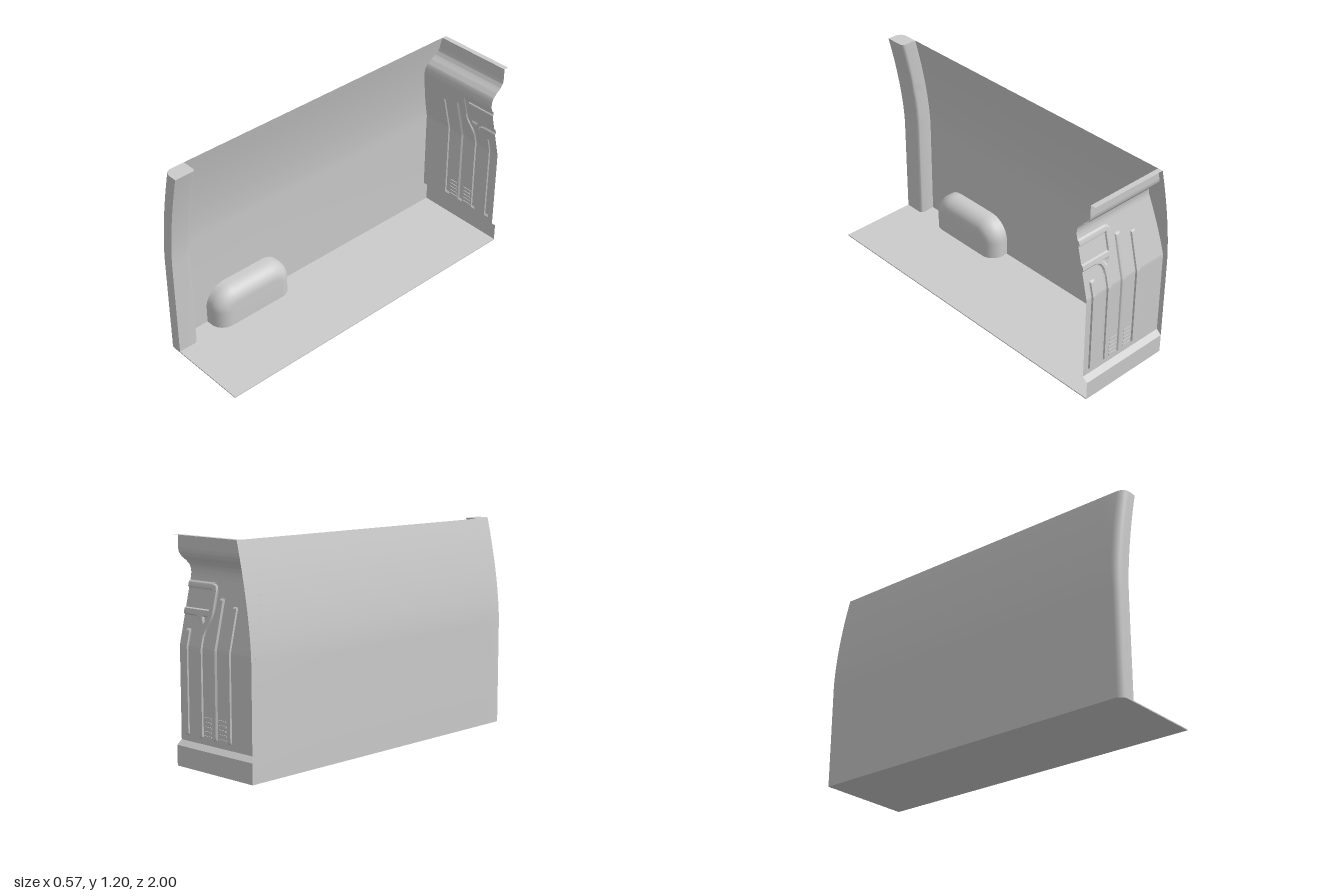
import * as THREE from 'three';
import { toCreasedNormals } from 'three/addons/utils/BufferGeometryUtils.js';

const material = new THREE.MeshStandardMaterial({ color: 0xcccccc, side: THREE.DoubleSide });
const HALF = 0.285;

// Side wall leans inward above the waist
const wallX = (y) => -HALF + 0.095 * Math.pow(Math.max(0, (y - 0.6) / 0.6), 1.6);
const levels = [0, 0.6];
for (let i = 1; i <= 14; i++) levels.push(0.6 + (0.6 * i) / 14);

// Surface through rows of [x, y, z] points
function loft(rows, crease = 0.6) {
  const n = rows[0].length, index = [];
  for (let i = 0; i < rows.length - 1; i++) {
    for (let j = 0; j < n - 1; j++) {
      const a = i * n + j, c = a + n;
      index.push(a, a + 1, c, a + 1, c + 1, c);
    }
  }
  const g = new THREE.BufferGeometry();
  g.setAttribute('position', new THREE.Float32BufferAttribute(rows.flat(2), 3));
  g.setIndex(index);
  return toCreasedNormals(g, crease);
}

function add(parent, name, geometry) {
  const mesh = new THREE.Mesh(geometry, material);
  mesh.name = name;
  parent.add(mesh);
  return mesh;
}

// Bulkhead profile: [height, depth]
const profile = [
  [0, -1], [0.11, -1], [0.135, -0.97], [0.63, -0.97], [0.96, -0.892], [0.98, -0.887], [1.0, -0.885],
  [1.02, -0.887], [1.04, -0.895], [1.065, -0.92], [1.085, -0.948], [1.11, -0.966], [1.13, -0.97], [1.21, -0.97],
];
function sheetZ(y) {
  const k = Math.max(1, profile.findIndex((p) => p[0] >= y));
  const [y0, z0] = profile[k - 1], [y1, z1] = profile[k];
  return z0 + ((z1 - z0) * (y - y0)) / (y1 - y0);
}

// Signed distance to a closed outline, positive inside
function inset(points, x, y) {
  let d = Infinity, inside = false;
  for (let i = 0, j = points.length - 1; i < points.length; j = i++) {
    const a = points[j], b = points[i], ex = b.x - a.x, ey = b.y - a.y;
    const len = ex * ex + ey * ey;
    if (len === 0) continue;
    const t = THREE.MathUtils.clamp(((x - a.x) * ex + (y - a.y) * ey) / len, 0, 1);
    d = Math.min(d, Math.hypot(x - a.x - ex * t, y - a.y - ey * t));
    if (a.y > y !== b.y > y && x < a.x + (ex * (y - a.y)) / ey) inside = !inside;
  }
  return inside ? d : -d;
}
const polygon = (...p) => p.map(([x, y]) => new THREE.Vector2(x, y));
const rect = (x0, x1, y0, y1) => polygon([x0, y0], [x1, y0], [x1, y1], [x0, y1]);

// Pressed channels, and the raised islands inside the largest one
const panel = new THREE.Shape();
panel.moveTo(0.11, 0.17);
panel.lineTo(0.11, 0.68);
panel.bezierCurveTo(0.11, 0.74, 0.065, 0.76, 0.065, 0.83);
panel.lineTo(0.065, 0.915);
panel.quadraticCurveTo(0.065, 0.956, 0.106, 0.956);
panel.lineTo(0.32, 0.956);
panel.lineTo(0.32, 0.79);
panel.lineTo(0.2, 0.79);
panel.quadraticCurveTo(0.139, 0.785, 0.139, 0.69);
panel.lineTo(0.139, 0.17);
const channels = [
  rect(-0.102, -0.074, 0.17, 0.852), rect(0.004, 0.033, 0.17, 0.884),
  rect(0.218, 0.247, 0.17, 0.716), panel.getPoints(10),
];
const islands = [rect(0.098, 0.32, 0.823, 0.926), polygon([0.104, 0.79], [0.142, 0.79], [0.123, 0.758])];

function recess(x, y) {
  if (y < 0.16 || y > 0.965) return 0;
  const step = (d) => THREE.MathUtils.clamp((d + 0.002) / 0.004, 0, 1);
  const down = Math.max(...channels.map((c) => step(inset(c, x, y))));
  if (down === 0) return 0;
  return 0.009 * down * (1 - Math.max(...islands.map((c) => step(inset(c, x, y)))));
}

function bulkhead() {
  const group = new THREE.Group();
  group.name = 'bulkhead';
  const rows = [];
  for (let i = 0; i <= 240; i++) {
    const y = i * 0.005, z = sheetZ(y), row = [];
    for (let j = 0; j <= 142; j++) {
      const x = Math.max(wallX(y), -HALF + (2 * HALF * j) / 142);
      row.push([x, y, z - recess(x, y)]);
    }
    rows.push(row);
  }
  // Top lip folds back
  rows.push(rows[240].map(([x, y]) => [x, y, -1]));
  add(group, 'bulkheadSheet', loft(rows));

  // Two columns of vent louvres
  const slat = new THREE.BoxGeometry(0.053, 0.009, 0.008);
  for (const x of [-0.036, 0.072]) {
    for (const y of [0.179, 0.203, 0.227, 0.251, 0.276]) {
      add(group, 'ventLouvre', slat).position.set(x, y, -0.97);
    }
  }
  return group;
}

// Pillar cross-section as [x, z], rounded at two opposite corners
function pillarSection(x0) {
  const pts = [[x0, 0.875]];
  for (let i = 0; i <= 6; i++) {
    const a = (i / 6) * Math.PI / 2;
    pts.push([x0 + 0.045 * (1 - Math.cos(a)), 0.955 + 0.045 * Math.sin(a)]);
  }
  pts.push([x0 + 0.095, 1]);
  for (let i = 0; i <= 4; i++) {
    const a = (i / 4) * Math.PI / 2;
    pts.push([x0 + 0.075 + 0.02 * Math.cos(a), 0.895 - 0.02 * Math.sin(a)]);
  }
  pts.push([x0, 0.875]);
  return pts;
}

function pillar() {
  const group = new THREE.Group();
  group.name = 'pillar';
  add(group, 'pillarShell', loft(levels.map((y) => pillarSection(wallX(y)).map(([x, z]) => [x, y, z]))));
  const top = new THREE.Shape(polygon(...pillarSection(wallX(1.2)).slice(0, -1)));
  add(group, 'pillarCap', new THREE.ShapeGeometry(top).rotateX(Math.PI / 2)).position.y = 1.2;
  return group;
}

// Wheel arch outline drawn inward by d
function archRow(d, x) {
  const r = 0.13 - d, row = [[x, 0, 0.205 + d]];
  for (const [cz, start] of [[0.335, Math.PI], [0.605, Math.PI / 2]]) {
    for (let i = 0; i <= 10; i++) {
      const a = start - (i / 10) * Math.PI / 2;
      row.push([x, 0.105 + r * Math.sin(a), cz + r * Math.cos(a)]);
    }
  }
  row.push([x, 0, 0.735 - d]);
  return row;
}

function wheelArch() {
  const rows = [archRow(0, -HALF)];
  for (let i = 0; i <= 10; i++) {
    const a = (i / 10) * Math.PI / 2;
    rows.push(archRow(0.085 * (1 - Math.cos(a)), -0.25 + 0.085 * Math.sin(a)));
  }
  rows.push(rows[rows.length - 1].map(([x, , z]) => [x, 0, z]));
  return loft(rows, 0.8);
}

export function createModel() {
  const model = new THREE.Group();
  model.name = 'vanInterior';

  // Floor with one rounded corner under the pillar
  const plan = new THREE.Shape();
  plan.moveTo(-HALF, -1);
  plan.lineTo(HALF, -1);
  plan.lineTo(HALF, 1);
  plan.lineTo(-HALF + 0.045, 1);
  plan.absarc(-HALF + 0.045, 0.955, 0.045, Math.PI / 2, Math.PI, false);
  const slab = new THREE.ExtrudeGeometry(plan, { depth: 0.006, bevelEnabled: false, curveSegments: 6 });
  add(model, 'floor', slab.rotateX(Math.PI / 2)).position.y = 0.006;

  add(model, 'sideWall', loft(levels.map((y) => [[wallX(y), y, 0.875], [wallX(y), y, -1]])));
  add(model, 'wheelArch', wheelArch());
  model.add(pillar(), bulkhead());
  return model;
}
